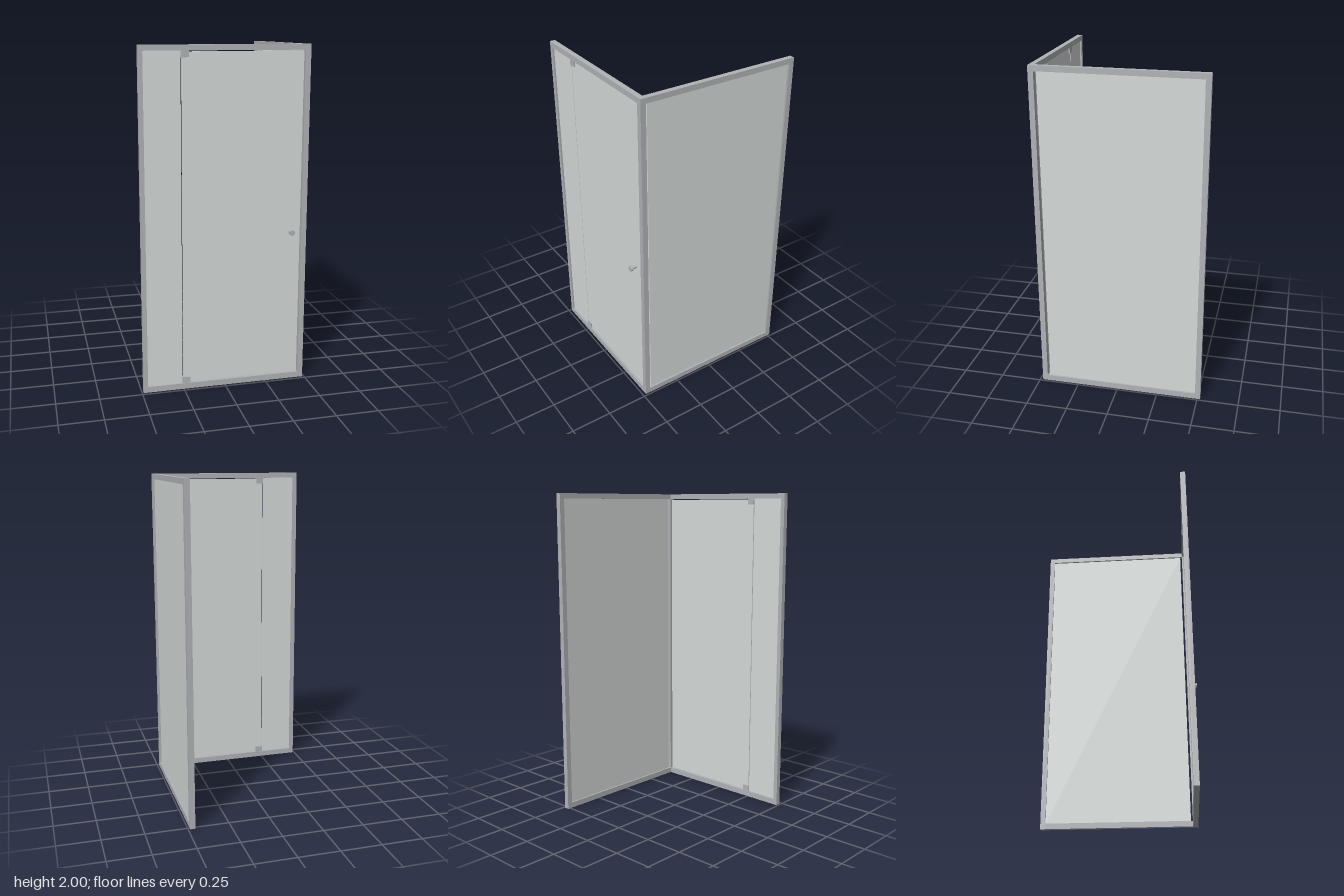
import * as THREE from 'three';

const frameMat = new THREE.MeshStandardMaterial({ color: 0xb0b3b6 });
const glassMat = new THREE.MeshStandardMaterial({ color: 0xd5dad8 });

// Box given by its min and max corners
function box(name, mat, [x0, y0, z0], [x1, y1, z1]) {
  const mesh = new THREE.Mesh(new THREE.BoxGeometry(x1 - x0, y1 - y0, z1 - z0), mat);
  mesh.position.set((x0 + x1) / 2, (y0 + y1) / 2, (z0 + z1) / 2);
  mesh.name = name;
  return mesh;
}

// Cylinder along z between two depths
function rod(name, radius, x, y, z0, z1) {
  const geo = new THREE.CylinderGeometry(radius, radius, z1 - z0, 32).rotateX(Math.PI / 2);
  const mesh = new THREE.Mesh(geo, frameMat);
  mesh.position.set(x, y, (z0 + z1) / 2);
  mesh.name = name;
  return mesh;
}

export function createModel() {
  const model = new THREE.Group();
  model.name = 'showerEnclosure';

  const L = -0.491, R = 0.489;        // outer x of the enclosure
  const F = 0.482, B = -0.518;        // outer z of the enclosure
  const W = 0.032, H = 2;             // bar width, height
  const bottom = 0.035, top = 1.968;  // inner edges of the rails
  const zGlass = F - W / 2, xGlass = R - W / 2, t = 0.005;

  // Upright posts
  const frame = new THREE.Group();
  frame.name = 'frame';
  frame.add(
    box('cornerPost', frameMat, [R - W, 0, F - W], [R, H, F]),
    box('frontWallPost', frameMat, [L, 0, F - W], [L + 0.026, H, F]),
    box('sideWallPost', frameMat, [R - W, 0, B], [R, H, B + W])
  );

  // Bottom and top rails of both walls
  for (const [label, y0, y1] of [['bottom', 0, bottom], ['top', top, H]]) {
    frame.add(
      box(label + 'FrontRail', frameMat, [L + 0.026, y0, F - W], [R - W, y1, F]),
      box(label + 'SideRail', frameMat, [R - W, y0, B + W], [R, y1, F - W])
    );
  }
  model.add(frame);

  // Fixed panes, with a narrow gap beside the corner post
  model.add(
    box('fixedFrontGlass', glassMat, [L + 0.026, bottom, zGlass - t], [-0.256, top, zGlass + t]),
    box('sideGlass', glassMat, [xGlass - t, bottom, B + W], [xGlass + t, top, 0.438])
  );

  // Pivoting door with hinges and knob
  const door = new THREE.Group();
  door.name = 'door';
  door.add(box('doorGlass', glassMat, [-0.251, bottom + 0.005, zGlass - t], [0.452, top - 0.005, zGlass + t]));
  for (const [name, y0, y1] of [['bottomHinge', bottom, 0.072], ['topHinge', 1.932, top]]) {
    door.add(box(name, frameMat, [-0.256, y0, zGlass - 0.013], [-0.211, y1, zGlass + 0.013]));
  }
  door.add(
    rod('knobStem', 0.009, 0.392, 0.922, zGlass, 0.499),
    rod('knob', 0.016, 0.392, 0.922, 0.498, 0.513)
  );
  model.add(door);

  return model;
}
